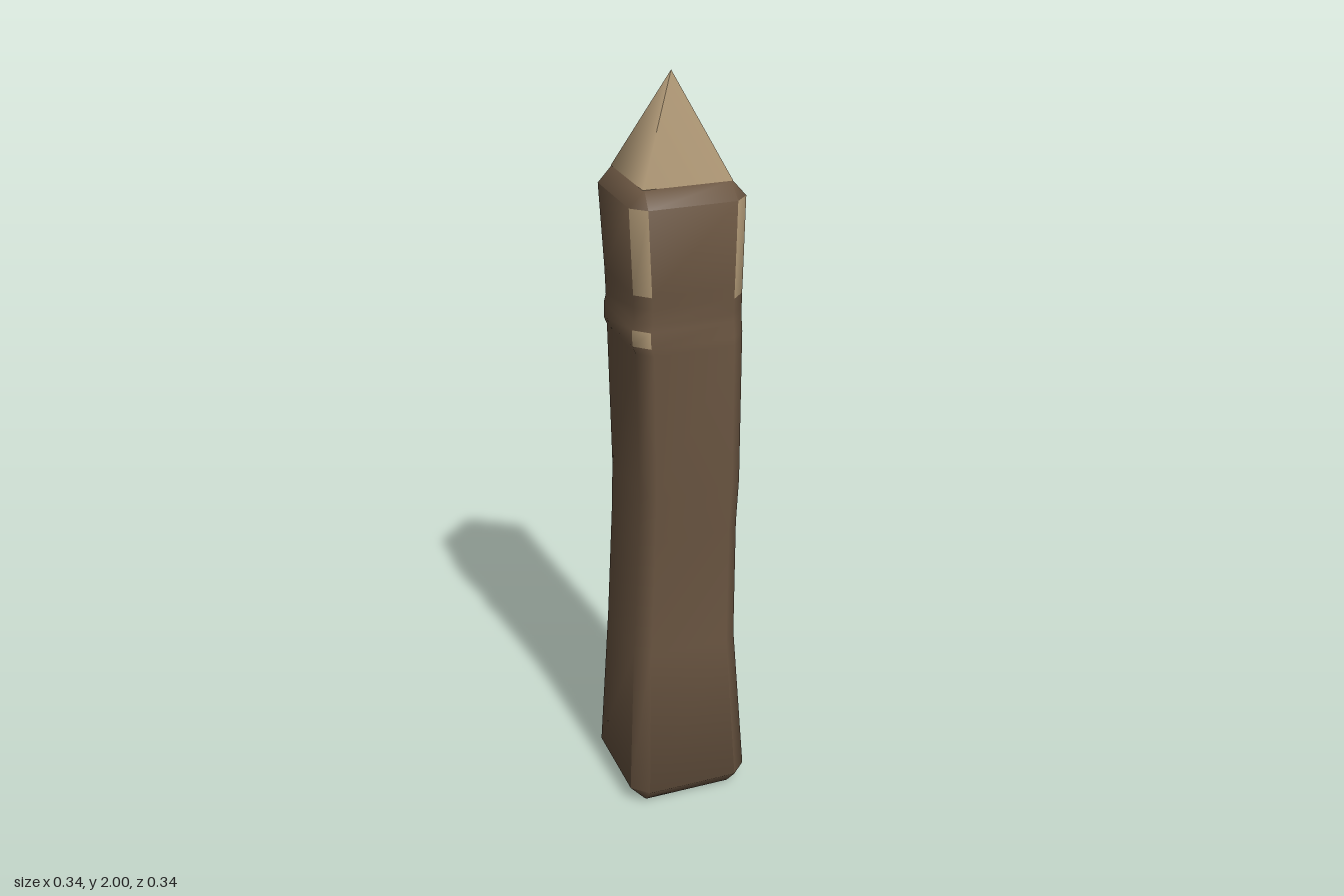
import * as THREE from 'three';
import { toCreasedNormals } from 'three/addons/utils/BufferGeometryUtils.js';

const darkWood = new THREE.MeshStandardMaterial({ color: 0x6b5642 });
const paleWood = new THREE.MeshStandardMaterial({ color: 0xad9674 });
darkWood.name = 'dark wood';
paleWood.name = 'pale cut wood';

// Cross-sections of the post: y, left x, right x, back z, front z, corner chamfer
const rings = [
  [0, -0.125, 0.125, -0.125, 0.125, 0.004],
  [0.05, -0.168, 0.168, -0.168, 0.168, 0.042],
  [0.48, -0.147, 0.141, -0.142, 0.143, 0.036],
  [0.82, -0.133, 0.14, -0.132, 0.146, 0.034],
  [0.95, -0.13, 0.145, -0.131, 0.15, 0.034],
  [1.34, -0.136, 0.146, -0.139, 0.15, 0.035],
  [1.36, -0.144, 0.147, -0.14, 0.149, 0.036],
  [1.4, -0.143, 0.147, -0.141, 0.142, 0.036],
  [1.42, -0.137, 0.147, -0.142, 0.142, 0.036],
  [1.46, -0.138, 0.147, -0.143, 0.143, 0.036],
  [1.49, -0.139, 0.148, -0.143, 0.143, 0.036],
  [1.71, -0.15, 0.15, -0.15, 0.15, 0.036],
  [1.75, -0.115, 0.115, -0.115, 0.115, 0.004],
];

// Worn stretches on the chamfers: chamfer side number, from y, to y
const worn = [
  [1, 1.46, 1.71], // front left
  [3, 1.49, 1.71], // back left
  [5, 1.46, 1.71], // back right
  [7, 1.49, 1.71], // front right
  [7, 1.36, 1.4],
];

function buildPost() {
  const positions = [];
  for (const [y, l, r, b, f, c] of rings) {
    const corners = [
      [l + c, f], [r - c, f], [r, f - c], [r, b + c],
      [r - c, b], [l + c, b], [l, b + c], [l, f - c],
    ];
    for (const [x, z] of corners) positions.push(x, y, z);
  }
  const dark = [], pale = [];
  for (let i = 0; i < rings.length - 1; i++) {
    for (let s = 0; s < 8; s++) {
      const a = i * 8 + s, b = i * 8 + (s + 1) % 8;
      const isWorn = worn.some(([side, from, to]) =>
        side === s && rings[i][0] >= from && rings[i + 1][0] <= to);
      (isWorn ? pale : dark).push(a, b, b + 8, a, b + 8, a + 8);
    }
  }
  // End caps
  const top = (rings.length - 1) * 8;
  for (let s = 1; s < 7; s++) {
    dark.push(0, s + 1, s);
    dark.push(top, top + s, top + s + 1);
  }
  const geometry = new THREE.BufferGeometry();
  geometry.setAttribute('position', new THREE.Float32BufferAttribute(positions, 3));
  geometry.setIndex([...dark, ...pale]);
  const smooth = toCreasedNormals(geometry, 1.0);
  smooth.clearGroups();
  smooth.addGroup(0, dark.length, 0);
  smooth.addGroup(dark.length, pale.length, 1);
  const mesh = new THREE.Mesh(smooth, [darkWood, paleWood]);
  mesh.name = 'post';
  return mesh;
}

export function createModel() {
  const model = new THREE.Group();
  model.name = 'sharpened wooden post';
  model.add(buildPost());

  // Four-sided sharpened point
  const tip = new THREE.Mesh(new THREE.ConeGeometry(0.115 * Math.SQRT2, 0.25, 4), paleWood);
  tip.name = 'sharpenedTip';
  tip.rotation.y = Math.PI / 4;
  tip.position.y = 1.875;
  model.add(tip);
  return model;
}
